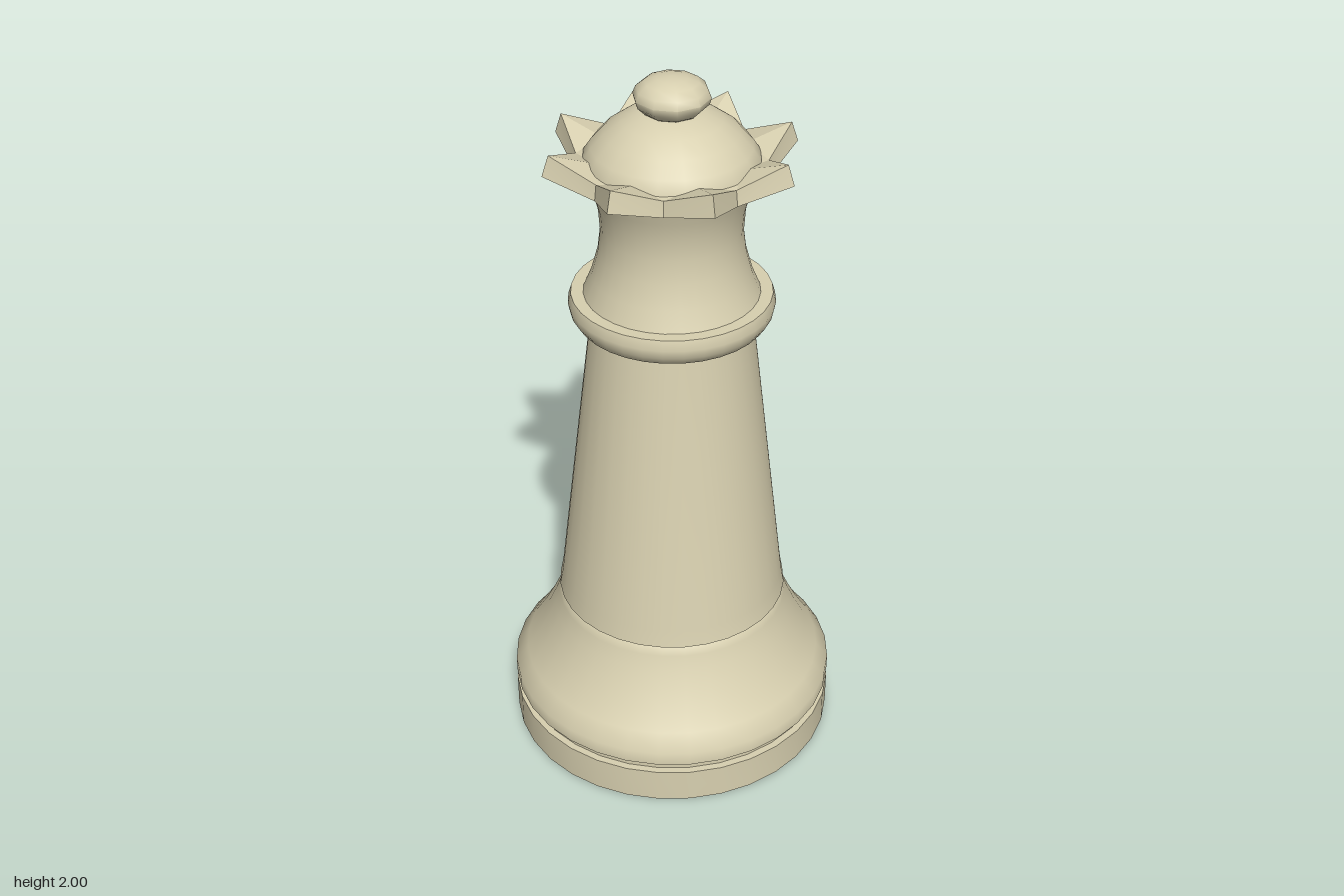
import * as THREE from 'three';
import { toCreasedNormals } from 'three/addons/utils/BufferGeometryUtils.js';

const material = new THREE.MeshStandardMaterial({ color: 0xd8d0b0 });

// Turned part from [radius, height] pairs, listed bottom to top
function turned(name, profile, sides, crease = 0.75) {
  const points = profile.map(([r, y]) => new THREE.Vector2(r, y));
  const geometry = toCreasedNormals(new THREE.LatheGeometry(points, sides), crease);
  const mesh = new THREE.Mesh(geometry, material);
  mesh.name = name;
  return mesh;
}

// Star-shaped ring: its section alternates between a raised point and a valley
function crownGeometry(points) {
  const tip = [[0.19, 1.735], [0.235, 1.74], [0.34, 1.775], [0.322, 1.83], [0.2, 1.79]];
  const valley = [[0.19, 1.735], [0.235, 1.735], [0.25, 1.737], [0.245, 1.78], [0.2, 1.785]];
  const n = tip.length, steps = points * 2;
  const positions = [], index = [];
  for (let i = 0; i < steps; i++) {
    const a = (i / steps) * Math.PI * 2;
    for (const [r, y] of i % 2 ? valley : tip) {
      positions.push(r * Math.sin(a), y, r * Math.cos(a));
    }
  }
  for (let i = 0; i < steps; i++) {
    for (let j = 0; j < n - 1; j++) {
      const a = i * n + j, b = ((i + 1) % steps) * n + j;
      // Split every quad symmetrically about its point
      if (i % 2) index.push(a, b, b + 1, a, b + 1, a + 1);
      else index.push(a, b, a + 1, b, b + 1, a + 1);
    }
  }
  const geometry = new THREE.BufferGeometry();
  geometry.setAttribute('position', new THREE.Float32BufferAttribute(positions, 3));
  geometry.setIndex(index);
  return toCreasedNormals(geometry, 0.3);
}

export function createModel() {
  const model = new THREE.Group();
  model.name = 'chessQueen';

  // Foot disc, groove and flared foot
  model.add(turned('base', [
    [0, 0], [0.46, 0], [0.46, 0.1], [0.44, 0.1], [0.44, 0.13], [0.46, 0.13],
    [0.46, 0.17], [0.425, 0.215], [0.39, 0.27], [0.363, 0.32], [0.34, 0.37],
    [0.325, 0.41], [0.316, 0.44], [0.3, 0.45],
  ], 32));

  // Tapering body
  model.add(turned('body', [[0.323, 0.44], [0.314, 0.49], [0.217, 1.32]], 32));

  // Rounded collar
  model.add(turned('collar', [
    [0.2, 1.31], [0.235, 1.31], [0.255, 1.322], [0.27, 1.345], [0.275, 1.37],
    [0.267, 1.397], [0.22, 1.397],
  ], 32));

  // Waisted neck
  model.add(turned('neck', [
    [0.237, 1.39], [0.212, 1.45], [0.194, 1.515], [0.186, 1.58],
    [0.19, 1.64], [0.202, 1.69], [0.218, 1.737],
  ], 32));

  // Eight-pointed crown
  const crown = new THREE.Mesh(crownGeometry(8), material);
  crown.name = 'crown';
  model.add(crown);

  // Domed cap
  model.add(turned('dome', [
    [0.23, 1.76], [0.228, 1.785], [0.208, 1.815], [0.175, 1.852],
    [0.13, 1.885], [0.085, 1.905], [0, 1.91],
  ], 20));

  // Finial knob
  model.add(turned('finial', [
    [0.05, 1.895], [0.075, 1.91], [0.095, 1.93], [0.1, 1.948],
    [0.092, 1.968], [0.07, 1.986], [0.04, 1.996], [0, 2],
  ], 10));

  return model;
}
